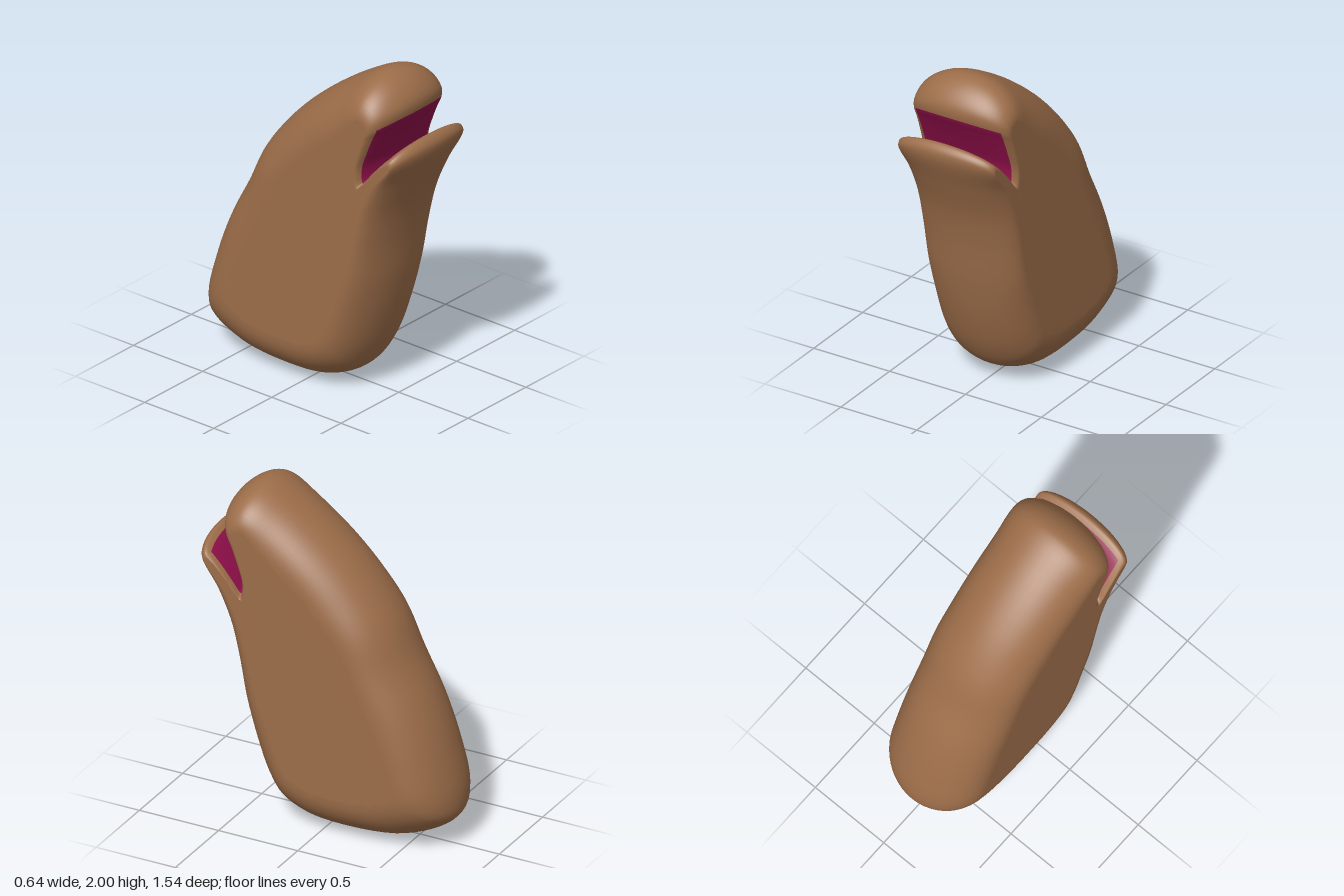
import * as THREE from 'three';

// Side outline: [z, y] at the middle plane, then [z, y] where it meets the flat flank
const PROFILE = [
  // underside and front
  [-0.15, 0.0, -0.12, 0.26], [0.1, 0.02, 0.08, 0.28], [0.27, 0.1, 0.18, 0.33],
  [0.36, 0.22, 0.23, 0.42], [0.44, 0.42, 0.28, 0.55], [0.51, 0.7, 0.36, 0.75],
  [0.56, 1.0, 0.42, 1.0], [0.61, 1.2, 0.48, 1.22],
  // lower lip
  [0.69, 1.4, 0.57, 1.4], [0.765, 1.58, 0.67, 1.52], [0.765, 1.64, 0.69, 1.56], [0.73, 1.675, 0.68, 1.58],
  // mouth, down to its corner and up again
  [0.69, 1.655, 0.645, 1.56], [0.6, 1.555, 0.58, 1.5], [0.54, 1.48, 0.52, 1.43], [0.5, 1.43, 0.455, 1.36],
  [0.5, 1.5, 0.44, 1.46], [0.55, 1.62, 0.47, 1.58], [0.6, 1.72, 0.5, 1.67], [0.635, 1.79, 0.52, 1.72],
  // snout and crown
  [0.635, 1.86, 0.52, 1.76], [0.58, 1.94, 0.49, 1.79], [0.5, 1.99, 0.45, 1.79], [0.42, 1.995, 0.41, 1.76],
  // back
  [0.25, 1.91, 0.34, 1.68], [0, 1.73, 0.15, 1.53], [-0.2, 1.54, 0, 1.38], [-0.36, 1.33, -0.14, 1.22],
  [-0.47, 1.1, -0.25, 0.99], [-0.6, 0.85, -0.37, 0.75], [-0.7, 0.58, -0.46, 0.53], [-0.765, 0.3, -0.5, 0.38],
  [-0.745, 0.18, -0.46, 0.33], [-0.5, 0.04, -0.32, 0.28],
];
const MOUTH_START = 12, MOUTH_END = 19;
const HALF_WIDTH = 0.318;
const SPAN = 6;        // samples between outline points
const STEPS = 13;      // rings from middle plane to flank
const MOUTH_STEPS = 9; // rings covered by the mouth lining

function sampleLoop(offset) {
  const curve = new THREE.CatmullRomCurve3(
    PROFILE.map((p) => new THREE.Vector3(0, p[offset + 1], p[offset])), true);
  const n = PROFILE.length * SPAN;
  return Array.from({ length: n }, (_, i) => curve.getPoint(i / n));
}

function makeMesh(name, positions, indices, color) {
  const geometry = new THREE.BufferGeometry();
  geometry.setAttribute('position', new THREE.Float32BufferAttribute(positions, 3));
  geometry.setIndex(indices);
  geometry.computeVertexNormals();
  const mesh = new THREE.Mesh(geometry, new THREE.MeshStandardMaterial({ color }));
  mesh.name = name;
  return mesh;
}

export function createModel() {
  const outer = sampleLoop(0), inner = sampleLoop(2);
  const n = outer.length, rows = STEPS * 2 + 1;
  const positions = [], skin = [], lining = [];

  // Rings round over from the middle outline to the flank on both sides
  for (let j = 0; j < rows; j++) {
    const a = ((j - STEPS) / STEPS) * Math.PI / 2;
    for (let i = 0; i < n; i++) {
      const p = outer[i].clone().lerp(inner[i], 1 - Math.cos(a));
      positions.push(HALF_WIDTH * Math.sin(a), p.y, p.z);
    }
  }
  for (let j = 0; j < rows - 1; j++) {
    const inWidth = j >= STEPS - MOUTH_STEPS && j < STEPS + MOUTH_STEPS;
    for (let i = 0; i < n; i++) {
      const inMouth = i >= MOUTH_START * SPAN && i < MOUTH_END * SPAN;
      const a = j * n + i, b = j * n + (i + 1) % n;
      (inWidth && inMouth ? lining : skin).push(a, a + n, b, b, a + n, b + n);
    }
  }

  // Flat flanks
  const top = (rows - 1) * n;
  const contour = inner.map((p) => new THREE.Vector2(p.z, p.y));
  for (const [a, b, c] of THREE.ShapeUtils.triangulateShape(contour, [])) {
    skin.push(a, b, c, top + a, top + c, top + b);
  }

  const group = new THREE.Group();
  group.name = 'creature';
  group.add(makeMesh('body', positions, skin, 0x9c6d49));
  group.add(makeMesh('mouthLining', positions, lining, 0x900f4a));
  return group;
}
